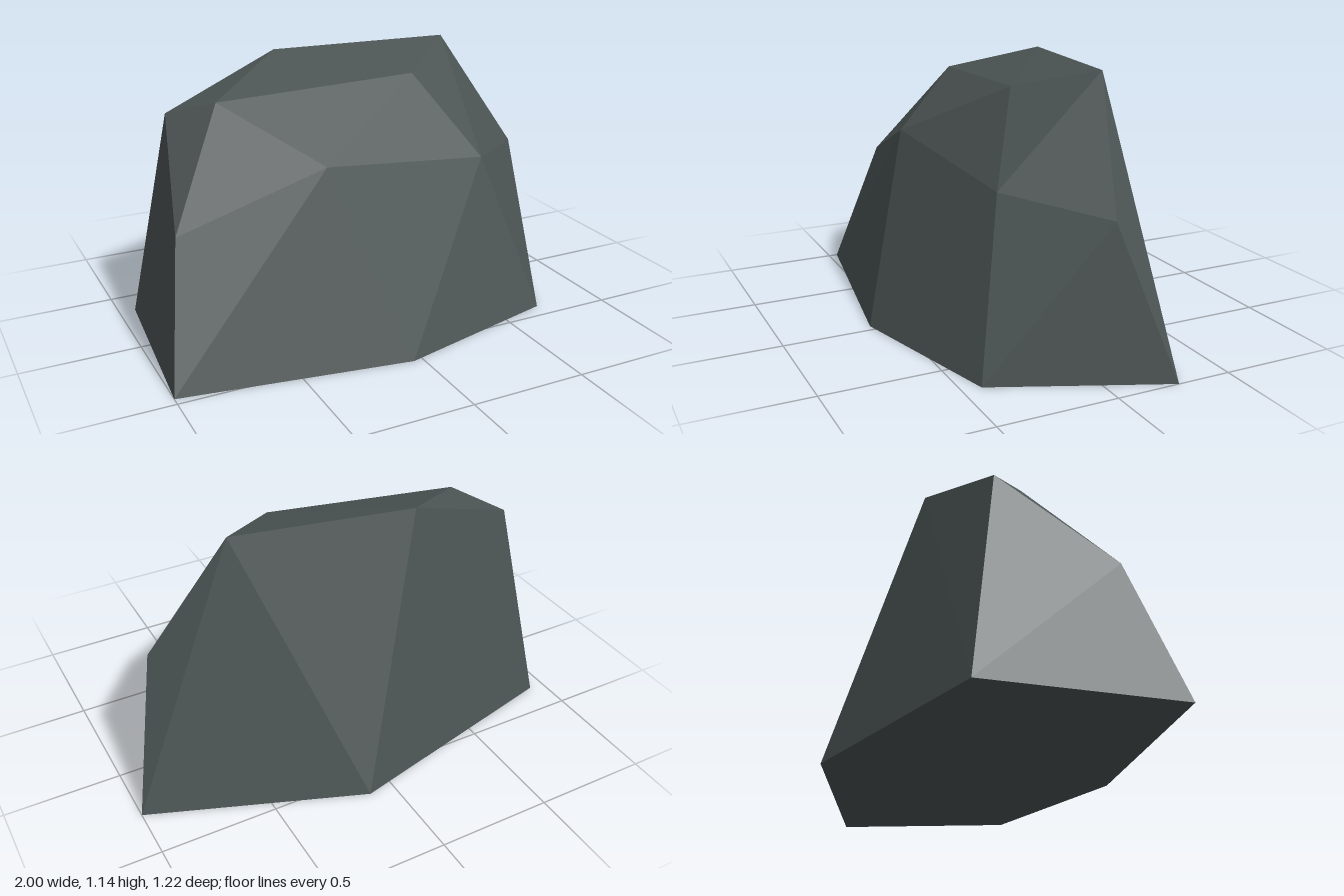
import * as THREE from 'three';
import { ConvexGeometry } from 'three/addons/geometries/ConvexGeometry.js';

// Faceted boulder: the hull of a six-sided foot, a broken shoulder and a tilted crown
const foot = [[-1, 0, 0.46], [-0.04, 0, 0.61], [0.7, 0, 0.42], [1, 0, -0.27], [0.11, 0, -0.61], [-0.93, 0, -0.35]];
const shoulder = [[-0.9, 0.57, 0.26], [-0.3, 0.79, 0.35], [0.48, 0.69, 0.25], [0.84, 0.63, -0.07]];
const crown = [[-0.78, 0.93, -0.2], [-0.62, 1.0, -0.02], [0.23, 1.05, 0.07], [0.52, 1.14, -0.185], [-0.25, 1.125, -0.305]];

export function createModel() {
  const group = new THREE.Group();
  group.name = 'rock';

  const stone = new THREE.MeshStandardMaterial({ color: 0x4c5454, flatShading: true });
  stone.name = 'dark grey stone';

  const points = [...foot, ...shoulder, ...crown].map(p => new THREE.Vector3(...p));
  const boulder = new THREE.Mesh(new ConvexGeometry(points), stone);
  boulder.name = 'boulder';
  group.add(boulder);

  return group;
}
